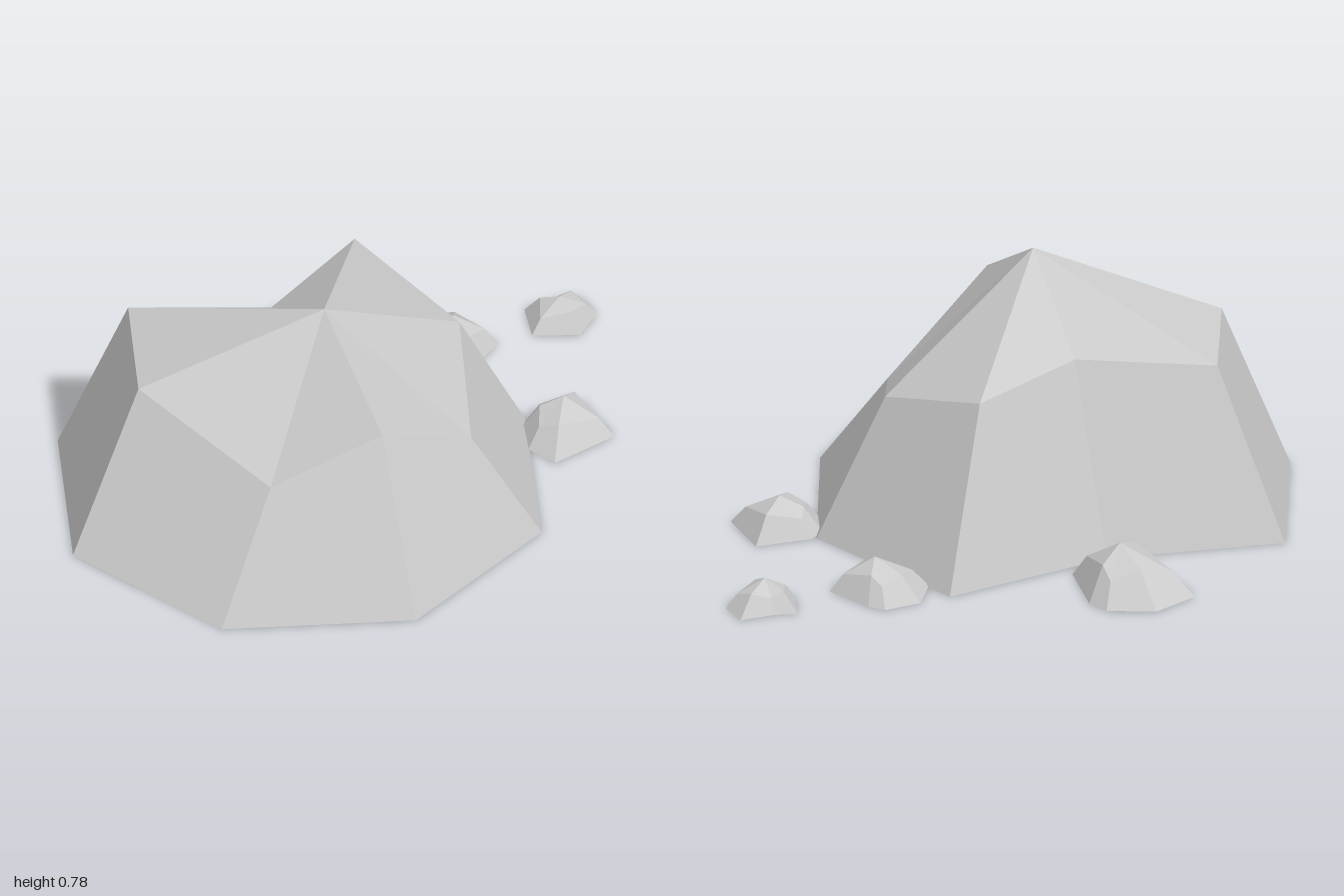
import * as THREE from 'three';

// Faceted rock: ground ring, shoulder ring and a peak, all rings counter-clockwise from above
function rock(name, base, shoulder, peak, centre) {
  const pos = [], nor = [];
  const vec = (a, b) => new THREE.Vector3(b[0] - a[0], b[1] - a[1], b[2] - a[2]);
  // Each facet has one normal, so four-sided facets read as single planes
  const facet = (a, b, c, d) => {
    const normal = vec(a, c).cross(d ? vec(b, d) : vec(b, a)).normalize();
    if (!d) normal.copy(vec(a, b).cross(vec(a, c)).normalize());
    const corners = d ? [a, b, d, b, c, d] : [a, b, c];
    corners.forEach((p) => { pos.push(...p); nor.push(...normal.toArray()); });
  };
  const n = base.length;
  for (let i = 0; i < n; i++) {
    const j = (i + 1) % n;
    facet(base[i], base[j], shoulder[j], shoulder[i]);
    facet(shoulder[i], shoulder[j], peak);
    facet(base[j], base[i], centre);
  }
  const geo = new THREE.BufferGeometry();
  geo.setAttribute('position', new THREE.Float32BufferAttribute(pos, 3));
  geo.setAttribute('normal', new THREE.Float32BufferAttribute(nor, 3));
  const mesh = new THREE.Mesh(geo, new THREE.MeshStandardMaterial({ color: 0xcccccc }));
  mesh.name = name;
  return mesh;
}

// Small stone: [x, z] outline, with a shoulder ring drawn in towards the peak
function stone(name, outline, peak) {
  const [px, py, pz] = peak;
  const base = outline.map(([x, z]) => [x, 0, z]);
  const shoulder = outline.map(([x, z], i) => {
    const t = i % 2 ? 0.3 : 0.44;
    return [x + (px - x) * t, py * (i % 2 ? 0.5 : 0.7), z + (pz - z) * t];
  });
  return rock(name, base, shoulder, peak, [px, 0, pz]);
}

export function createModel() {
  const group = new THREE.Group();
  group.name = 'rocks';

  // Large boulder, from the front round by its left, with a notch at the back
  const base = [
    [-0.22, 0, 0.83], [0.33, 0, 0.6], [0.555, 0, 0.05], [0.33, 0, -0.5],
    [-0.22, 0, -0.41], [-0.77, 0, -0.5], [-1, 0, 0.05], [-0.77, 0, 0.6],
  ];
  const shoulder = [
    [-0.22, 0.555, 0.605], [0.17, 0.31, 0.44], [0.33, 0.44, 0.05], [0.17, 0.555, -0.34],
    [-0.22, 0.555, -0.14], [-0.61, 0.555, -0.34], [-0.775, 0.555, 0.05], [-0.52, 0.35, 0.44],
  ];
  group.add(rock('boulder', base, shoulder, [-0.22, 0.78, 0.215], [-0.22, 0, 0.05]));

  // Loose stones around it
  group.add(stone('backStone',
    [[-0.33, -0.48], [-0.08, -0.48], [-0.05, -0.7], [-0.08, -0.77], [-0.22, -0.83], [-0.37, -0.77]],
    [-0.18, 0.152, -0.625]));
  group.add(stone('sideStone',
    [[0.49, -0.23], [0.66, -0.33], [0.59, -0.48], [0.55, -0.52], [0.43, -0.51], [0.36, -0.4]],
    [0.53, 0.118, -0.38]));
  group.add(stone('frontStone',
    [[0.53, 0.3], [0.755, 0.26], [0.75, 0.06], [0.57, 0.05], [0.52, 0.09], [0.49, 0.2]],
    [0.64, 0.118, 0.145]));
  group.add(stone('outerStone',
    [[0.9, -0.255], [1, -0.33], [0.99, -0.43], [0.88, -0.43], [0.81, -0.45], [0.77, -0.32]],
    [0.88, 0.092, -0.35]));
  return group;
}
